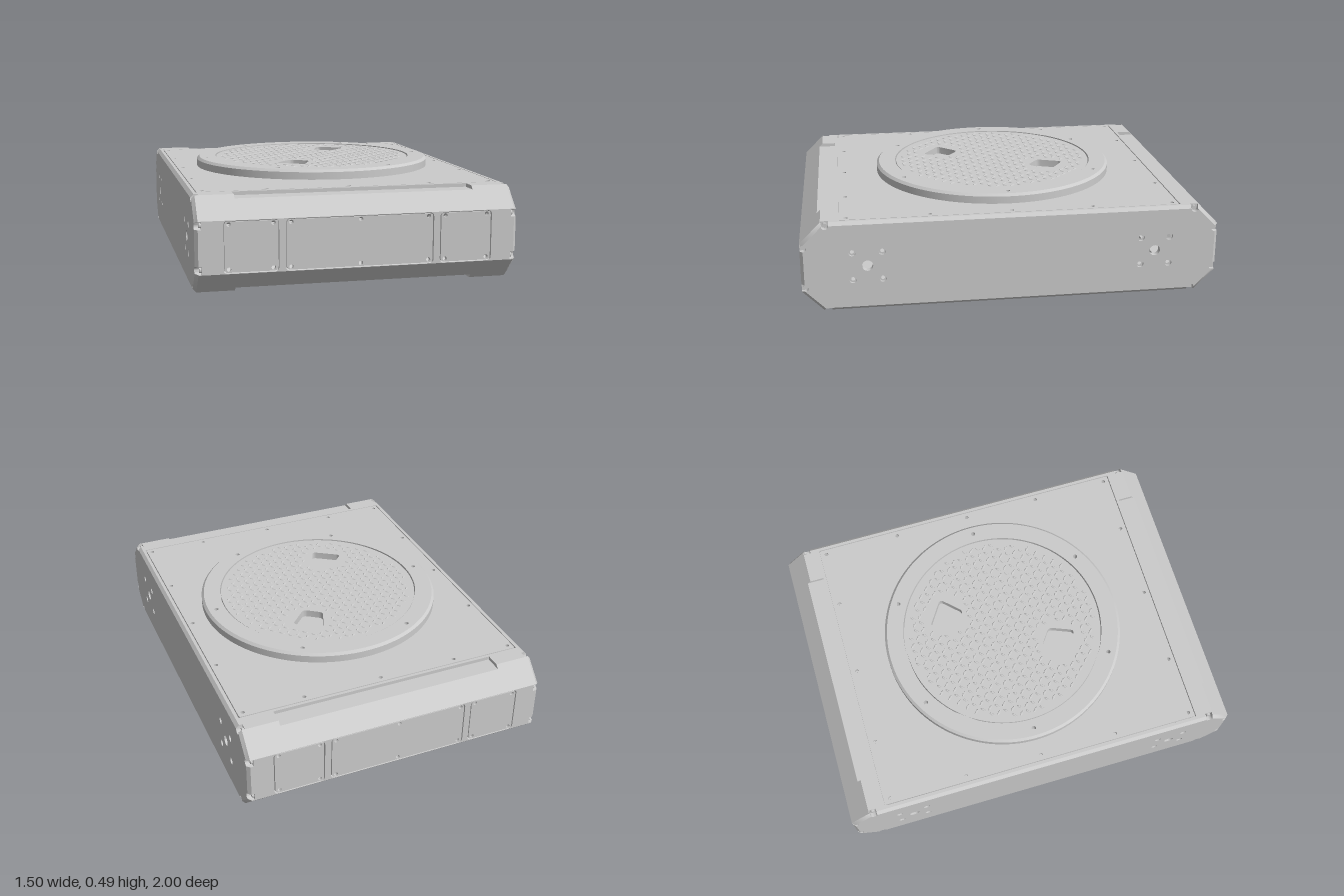
import * as THREE from 'three';
import { mergeGeometries, toCreasedNormals } from 'three/addons/utils/BufferGeometryUtils.js';

const grey = new THREE.MeshStandardMaterial({ color: 0xcccccc });
const thin = new THREE.MeshStandardMaterial({ color: 0xcccccc, side: THREE.DoubleSide });

function add(parent, name, geometry, material = grey) {
  const mesh = new THREE.Mesh(toCreasedNormals(geometry, 0.6), material);
  mesh.name = name;
  parent.add(mesh);
  return mesh;
}

const vecs = (list) => list.map(([x, y]) => new THREE.Vector2(x, y));

function circle(x, y, r, n = 16) {
  const pts = [];
  for (let i = 0; i < n; i++) {
    const a = (i / n) * Math.PI * 2;
    pts.push([x + r * Math.cos(a), y + r * Math.sin(a)]);
  }
  return vecs(pts);
}

// rounded polygon: each corner is replaced by a short curve
function rounded(corners, r) {
  const pts = [];
  const c = vecs(corners);
  c.forEach((p, i) => {
    const prev = c[(i + c.length - 1) % c.length], next = c[(i + 1) % c.length];
    const a = p.clone().add(prev.clone().sub(p).setLength(r));
    const b = p.clone().add(next.clone().sub(p).setLength(r));
    pts.push(...new THREE.QuadraticBezierCurve(a, p, b).getPoints(4));
  });
  return pts;
}

const rect = (x0, y0, x1, y1, r) => rounded([[x0, y0], [x1, y0], [x1, y1], [x0, y1]], r);

function plate(outline, holes, depth, steps = 1) {
  const shape = new THREE.Shape(outline);
  shape.holes = holes.map((h) => new THREE.Path(h));
  return new THREE.ExtrudeGeometry(shape, { depth, steps, bevelEnabled: false });
}

// move the vertices of the last layer by a rule
function shapeEnd(geometry, depth, rule) {
  const p = geometry.attributes.position;
  for (let i = 0; i < p.count; i++) {
    if (p.getZ(i) < depth - 1e-4) continue;
    const [x, y] = rule(p.getX(i), p.getY(i));
    p.setXY(i, x, y);
  }
  geometry.computeVertexNormals();
  return geometry;
}

// eight-sided end plate with bolt notches, side holes and a chamfered rim
function endPlate() {
  const group = new THREE.Group();
  const r = 0.0175, quarter = [], arc = [0, 1, 2, 3, 4, 5, 6].map((i) => (i / 6) * Math.PI);
  quarter.push([1, 0.1 - r], ...arc.map((a) => [0.985 - r * Math.sin(a), 0.1 - r * Math.cos(a)]), [1, 0.1 + r]);
  quarter.push([1, 0.12], [0.9, 0.22], [0.88 + r, 0.22]);
  quarter.push(...arc.map((a) => [0.88 + r * Math.cos(a), 0.205 - r * Math.sin(a)]), [0.88 - r, 0.22]);
  const flip = (sx, sy) => quarter.map(([x, y]) => [sx * x, sy * y]);
  const outline = [...flip(1, 1), ...flip(-1, 1).reverse(), ...flip(-1, -1), ...flip(1, -1).reverse()];

  const holes = [], small = [];
  for (const s of [-1, 1]) {
    holes.push(circle(s * 0.69, 0, 0.026, 24));
    for (const dz of [-0.07, 0.07]) for (const v of [-0.068, 0.068]) small.push([s * 0.69 + dz, v]);
  }
  holes.push(...small.map(([z, v]) => circle(z, v, 0.017)));

  const b = 0.015;
  const g = shapeEnd(plate(vecs(outline), holes, 0.03, 2), 0.03, (x, y) => {
    let u = Math.min(Math.abs(x), 1 - b), v = Math.min(Math.abs(y), 0.22 - b);
    const over = u + v - (1.12 - b * Math.SQRT2);
    if (over > 0) {
      if (u > 1 - b - 1e-6) v -= over;
      else if (v > 0.22 - b - 1e-6) u -= over;
      else { u -= over / 2; v -= over / 2; }
    }
    return [Math.sign(x) * u, Math.sign(y) * v];
  });
  add(group, 'sidePlate', g);

  for (const [z, v] of small) {
    add(group, 'holeWasher', new THREE.RingGeometry(0.009, 0.018, 16), thin).position.set(z, v, 0.018);
  }
  for (const sz of [-1, 1]) for (const sv of [-1, 1]) for (const [z, v] of [[0.983, 0.1], [0.88, 0.203]]) {
    const bolt = add(group, 'cornerBolt', new THREE.CylinderGeometry(0.011, 0.011, 0.012, 16));
    bolt.rotation.x = Math.PI / 2;
    bolt.position.set(sz * z, sv * v, 0.004);
  }
  return group;
}

// front wall with three inlaid access panels
function accessWall() {
  const group = new THREE.Group();
  const spans = [[-0.625, -0.375, [-0.6, -0.4]], [-0.345, 0.345, [-0.32, 0, 0.32]], [0.375, 0.625, [0.4, 0.6]]];
  const screws = (xs) => xs.flatMap((x) => [0.12, 0.322].map((y) => circle(x, y, 0.01, 12)));
  const wall = vecs([[-0.72, 0.1], [0.72, 0.1], [0.72, 0.34], [-0.72, 0.34]]);
  add(group, 'wallBacking', plate(wall, spans.flatMap((s) => screws(s[2])), 0.015)).position.z = 0.97;
  const openings = spans.map(([a, b]) => rect(a, 0.102, b, 0.338, 0.02));
  add(group, 'wallFrame', plate(wall, openings, 0.015)).position.z = 0.985;
  for (const [a, b, xs] of spans) {
    const g = plate(rect(a + 0.005, 0.106, b - 0.005, 0.334, 0.017), screws(xs), 0.014);
    add(group, 'accessPanel', g).position.z = 0.985;
  }
  return group;
}

// long corner rail, with a shallow pocket along its middle
function cornerRail(sz, sv) {
  const group = new THREE.Group();
  const inner = [[0.815, 0.22], [0.815, 0.205], [0.8, 0.205], [0.8, 0.18], [0.88, 0.18], [0.97, 0.1]];
  const full = [[1, 0.12], [0.9, 0.22], ...inner];
  const cut = [[1, 0.12], [0.917, 0.203], [0.83, 0.203], [0.83, 0.22], ...inner];
  for (const [name, pts, x0, x1] of [['railEnd', full, -0.72, -0.56], ['railPocket', cut, -0.56, 0.56], ['railEnd', full, 0.56, 0.72]]) {
    const g = plate(vecs(pts.map(([z, v]) => [-sz * z, sv * v])), [], x1 - x0);
    g.translate(0, 0.22, x0).rotateY(Math.PI / 2);
    add(group, name, g);
  }
  return group;
}

// round platform with bolted ring, recessed grips and tread
function turntable() {
  const group = new THREE.Group();
  const bolts = [0, 1, 2, 3, 4, 5].map((i) => circle(0.56 * Math.cos((i * Math.PI) / 3), 0.56 * Math.sin((i * Math.PI) / 3), 0.011));
  const ring = plate(circle(0, 0, 0.61, 128), [circle(0, 0, 0.513, 128), ...bolts], 0.048, 4);
  shapeEnd(ring, 0.048, (x, y) => {
    const r = Math.hypot(x, y), k = r > 0.6 ? 0.598 / r : 1;
    return [x * k, y * k];
  });
  add(group, 'turntableRing', ring.rotateX(-Math.PI / 2).translate(0, 0.445, 0));
  add(group, 'turntableBase', new THREE.CylinderGeometry(0.55, 0.55, 0.02, 96)).position.y = 0.443;

  const grip = [[0.115, 0.355], [0.245, 0.27], [0.15, 0.17], [0.065, 0.23]];
  const grips = [1, -1].map((s) => rounded(grip.map(([x, y]) => [s * x, s * y]), 0.022));
  const disc = plate(circle(0, 0, 0.508, 128), grips, 0.037);
  add(group, 'treadDisc', disc.rotateX(-Math.PI / 2).translate(0, 0.452, 0));

  // alternating raised lugs
  const lugs = [], step = 0.036;
  for (let i = -13; i <= 13; i++) for (let j = -13; j <= 13; j++) {
    const x = i * step, z = j * step;
    const nearGrip = [1, -1].some((s) => Math.hypot(x - s * 0.15, z + s * 0.26) < 0.115);
    if (Math.hypot(x, z) > 0.475 || nearGrip) continue;
    const lug = new THREE.CylinderGeometry(0.6, 1, 0.004, 8).scale(0.017, 1, 0.006);
    lugs.push(lug.rotateY((i + j) % 2 ? Math.PI / 4 : -Math.PI / 4).translate(x, 0.4905, z));
  }
  add(group, 'treadLugs', mergeGeometries(lugs));
  return group;
}

export function createModel() {
  const model = new THREE.Group();
  model.name = 'turntableBox';

  for (const s of [1, -1]) {
    const end = endPlate();
    end.name = s > 0 ? 'leftEnd' : 'rightEnd';
    end.rotation.y = (s * Math.PI) / 2;
    end.position.set(s * 0.72, 0.22, 0);
    const wall = accessWall();
    wall.name = s > 0 ? 'frontWall' : 'backWall';
    wall.rotation.y = s > 0 ? 0 : Math.PI;
    model.add(end, wall);
    for (const sv of [1, -1]) {
      const rail = cornerRail(s, sv);
      rail.name = (s > 0 ? 'front' : 'back') + (sv > 0 ? 'Upper' : 'Lower') + 'Rail';
      model.add(rail);
    }
  }

  // screwed top and bottom covers
  const screws = [];
  for (const s of [-1, 1]) {
    for (const x of [-0.69, -0.39, 0, 0.39, 0.69]) screws.push(circle(x, s * 0.782, 0.01, 12));
    for (const z of [-0.39, 0, 0.39]) screws.push(circle(s * 0.69, z, 0.01, 12));
  }
  for (const [name, y] of [['topCover', 0.425], ['bottomCover', 0]]) {
    const g = plate(rect(-0.716, -0.81, 0.716, 0.81, 0.01), screws, 0.015);
    add(model, name, g.rotateX(-Math.PI / 2)).position.y = y;
  }

  const table = turntable();
  table.name = 'turntable';
  model.add(table);
  return model;
}
